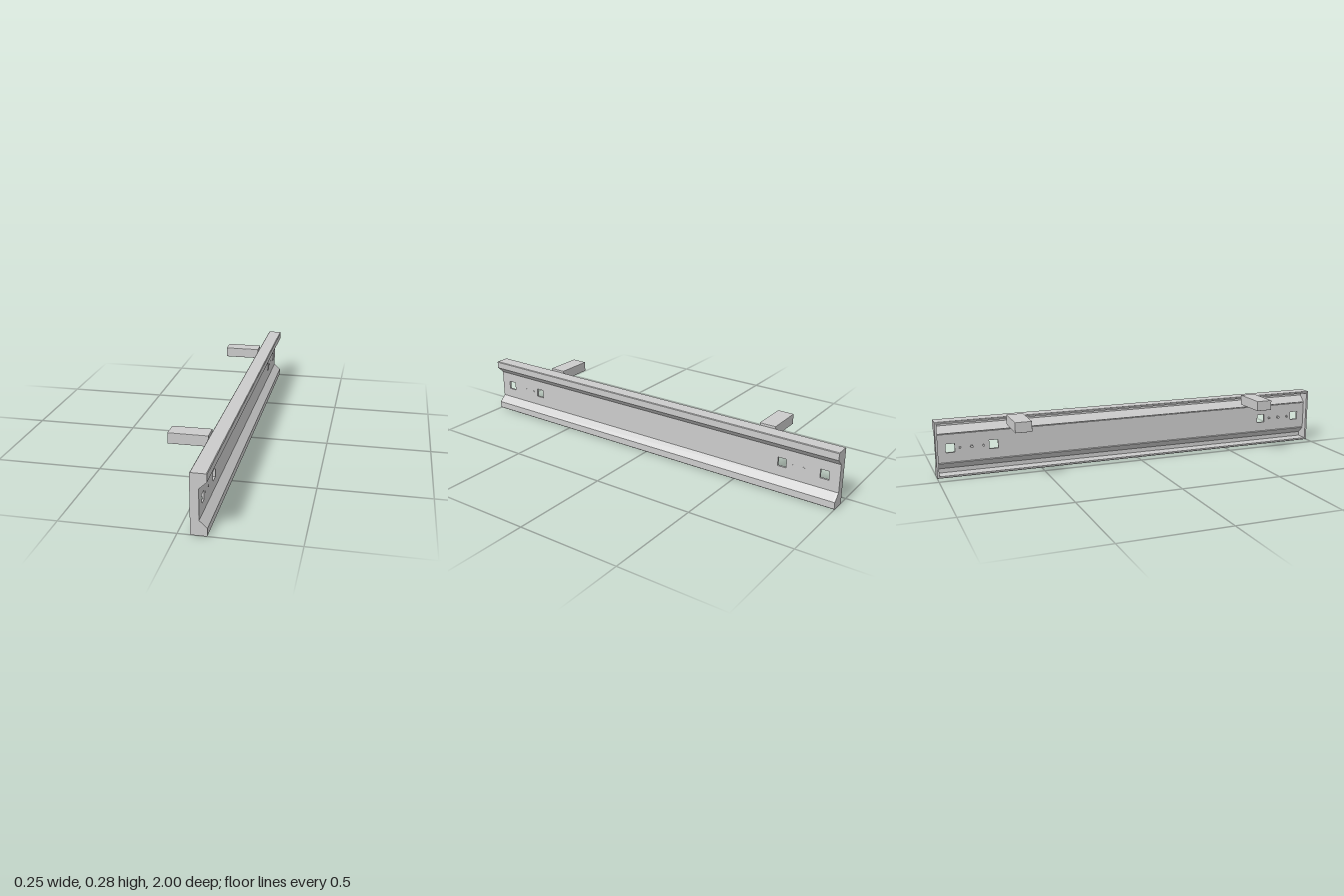
import * as THREE from 'three';
import { RoundedBoxGeometry } from 'three/addons/geometries/RoundedBoxGeometry.js';

const H = 0.27, WEB_X = 0.09, T = 0.01;

export function createModel() {
  const group = new THREE.Group();
  const material = new THREE.MeshStandardMaterial({ color: 0xcccccc, flatShading: true });
  const add = (name, geometry, x = 0, y = 0, z = 0) => {
    const mesh = new THREE.Mesh(geometry, material);
    mesh.name = name;
    mesh.position.set(x, y, z);
    group.add(mesh);
    return mesh;
  };
  const polygon = (pts) => new THREE.Shape(pts.map(([x, y]) => new THREE.Vector2(x, y)));
  const extrude = (shape, depth) => new THREE.ExtrudeGeometry(shape, { depth, bevelEnabled: false });
  const flip = ([x, y]) => [x, H - y];

  // Folded sheet flanges, open towards -x
  const outer = [[0.053, 0.267], [0.056, H], [0.12, H], [0.123, 0.267], [0.123, 0.235], [WEB_X, 0.203]];
  const inner = [[WEB_X - T, 0.207], [0.113, 0.239], [0.113, H - T], [0.053, H - T]];
  const flange = [...outer, ...inner];
  add('topFlange', extrude(polygon(flange), 1.98), 0, 0, -0.99);
  add('bottomFlange', extrude(polygon(flange.map(flip)), 1.98), 0, 0, -0.99);

  // Upright web with square mounting holes, drawn in the z-y plane
  const web = polygon([[-0.99, 0.067], [0.99, 0.067], [0.99, 0.203], [-0.99, 0.203]]);
  for (const z of [-0.93, -0.725, 0.725, 0.93]) {
    const s = 0.021, y = H / 2;
    web.holes.push(new THREE.Path([
      [z - s, y - s], [z - s, y + s], [z + s, y + s], [z + s, y - s],
    ].map(([a, b]) => new THREE.Vector2(a, b))));
  }
  add('web', extrude(web, T).rotateY(Math.PI / 2), WEB_X - T);

  // Closed end plates following the full section
  const section = polygon([...outer, ...outer.map(flip).reverse()]);
  add('frontEndPlate', extrude(section, T), 0, 0, 1 - T);
  add('backEndPlate', extrude(section, T), 0, 0, -1);

  for (const side of [-1, 1]) {
    // Mounting arms
    add('mountingArm', new RoundedBoxGeometry(0.178, 0.05, 0.08, 1, 0.002), -0.036, 0.255, side * 0.625);

    // Small fasteners between the square holes
    for (const [z, r] of [[0.775, 0.005], [0.83, 0.007], [0.885, 0.005]]) {
      const bolt = new THREE.CylinderGeometry(r, r, 0.02, 10).rotateZ(Math.PI / 2);
      add('fastener', bolt, WEB_X - 0.009, H / 2, side * z);
    }
  }
  return group;
}
